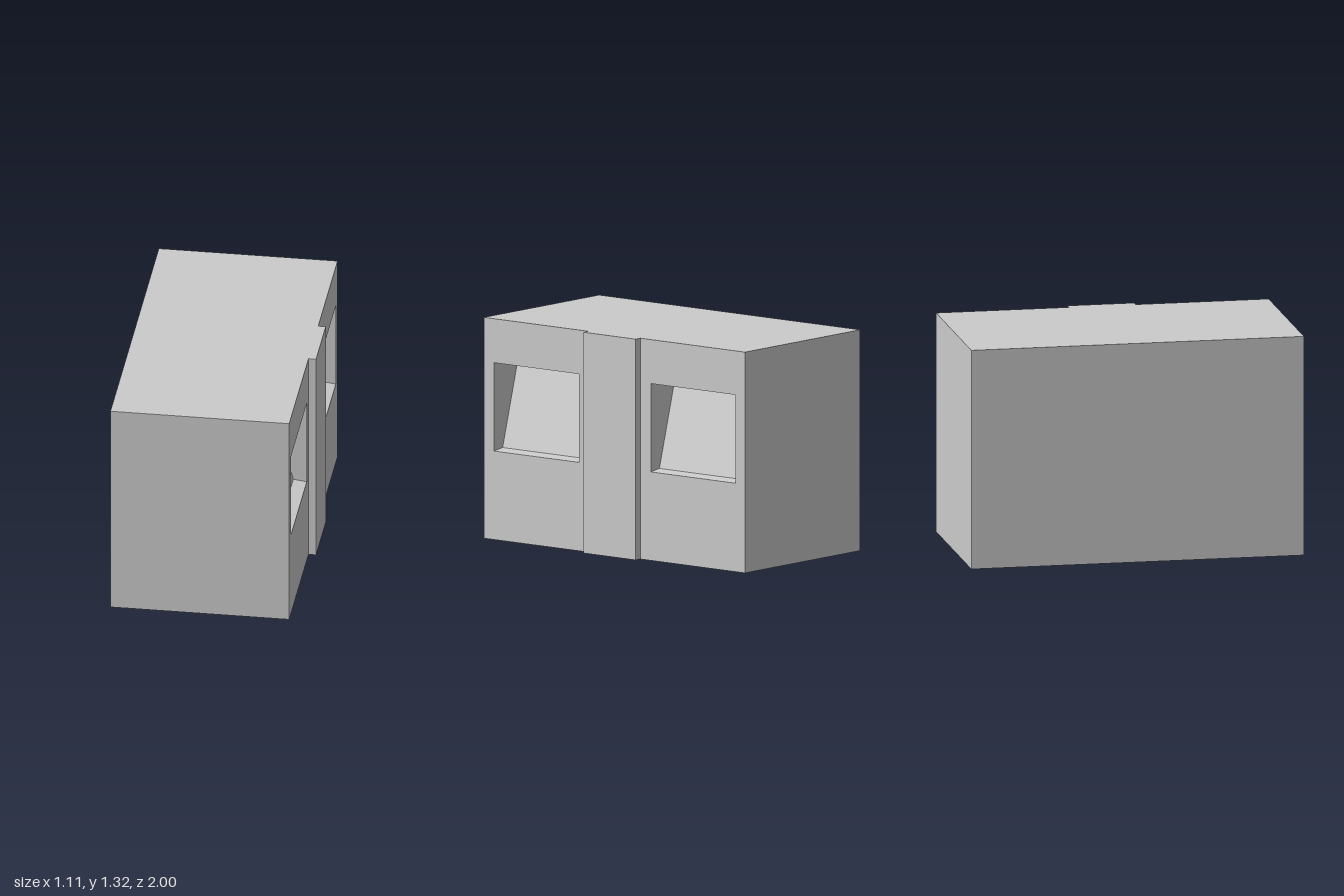
import * as THREE from 'three';

const H = 1.32;          // overall height
const FACE = 0.51;       // plane of the window wall
const BACK = -0.555;
const OUT_Y = [0.529, 1.057];   // window opening, bottom and top
const IN_Y = [0.54, 1.045];     // sloped pane, bottom and top
const DEPTH = [0.08, 0.22];     // recess depth, bottom and top
const WINDOW_Z = [0.597, -0.604];
const HALF_W = 0.325;

// Footprint (x, z), running counter-clockwise seen from above
const FOOTPRINT = [
  [BACK, 1], [FACE, 1], [FACE, 0.2], [0.555, 0.2],
  [0.555, -0.2], [FACE, -0.2], [FACE, -1], [BACK, -1],
];

const material = new THREE.MeshStandardMaterial({ color: 0xcccccc, flatShading: true });

function mesh(name, geometry) {
  const m = new THREE.Mesh(geometry, material);
  m.name = name;
  return m;
}

// Flat-sided geometry from a list of counter-clockwise quads
function quads(list) {
  const pos = list.flatMap(([a, b, c, d]) => [a, b, c, a, c, d].flat());
  const g = new THREE.BufferGeometry();
  g.setAttribute('position', new THREE.Float32BufferAttribute(pos, 3));
  g.computeVertexNormals();
  return g;
}

const shape = (pts) => new THREE.Shape(pts.map(([x, y]) => new THREE.Vector2(x, y)));

// Wall bay with a rectangular opening, facing +x
function windowWall(zFront, zBack, zc) {
  const s = shape([[-zFront, 0], [-zBack, 0], [-zBack, H], [-zFront, H]]);
  const [y0, y1] = OUT_Y, u0 = -zc - HALF_W, u1 = -zc + HALF_W;
  s.holes.push(shape([[u0, y0], [u0, y1], [u1, y1], [u1, y0]]));
  return new THREE.ShapeGeometry(s).rotateY(Math.PI / 2).translate(FACE, 0, 0);
}

// Corners of a rectangle at the window, seen from +x: bottom pair, then top pair
function corners(zc, [y0, y1], [d0, d1]) {
  const a = zc + HALF_W, b = zc - HALF_W;
  return [[FACE - d0, y0, a], [FACE - d0, y0, b], [FACE - d1, y1, b], [FACE - d1, y1, a]];
}

export function createModel() {
  const model = new THREE.Group();
  model.name = 'buildingBlock';

  // Plain walls and central pilaster; the window bays are left open
  const walls = [], pilaster = [];
  FOOTPRINT.forEach(([px, pz], i) => {
    if (i === 1 || i === 5) return;
    const [qx, qz] = FOOTPRINT[(i + 1) % FOOTPRINT.length];
    const quad = [[px, 0, pz], [qx, 0, qz], [qx, H, qz], [px, H, pz]];
    (i >= 2 && i <= 4 ? pilaster : walls).push(quad);
  });
  model.add(mesh('outerWalls', quads(walls)), mesh('pilaster', quads(pilaster)));

  // Roof and underside
  const roof = new THREE.ShapeGeometry(shape(FOOTPRINT.map(([x, z]) => [x, -z])));
  model.add(mesh('roof', roof.rotateX(-Math.PI / 2).translate(0, H, 0)));
  const base = new THREE.ShapeGeometry(shape(FOOTPRINT));
  model.add(mesh('underside', base.rotateX(Math.PI / 2)));

  // Window bays with reveals and tilted panes
  WINDOW_Z.forEach((zc) => {
    const bay = new THREE.Group();
    bay.name = zc > 0 ? 'frontWindowBay' : 'rearWindowBay';
    const range = zc > 0 ? [1, 0.2] : [-0.2, -1];
    const o = corners(zc, OUT_Y, [0, 0]);
    const n = corners(zc, IN_Y, DEPTH);
    const reveals = o.map((p, i) => [p, o[(i + 1) % 4], n[(i + 1) % 4], n[i]]);
    bay.add(
      mesh('windowWall', windowWall(...range, zc)),
      mesh('windowReveals', quads(reveals)),
      mesh('windowPane', quads([n])),
    );
    model.add(bay);
  });

  return model;
}
